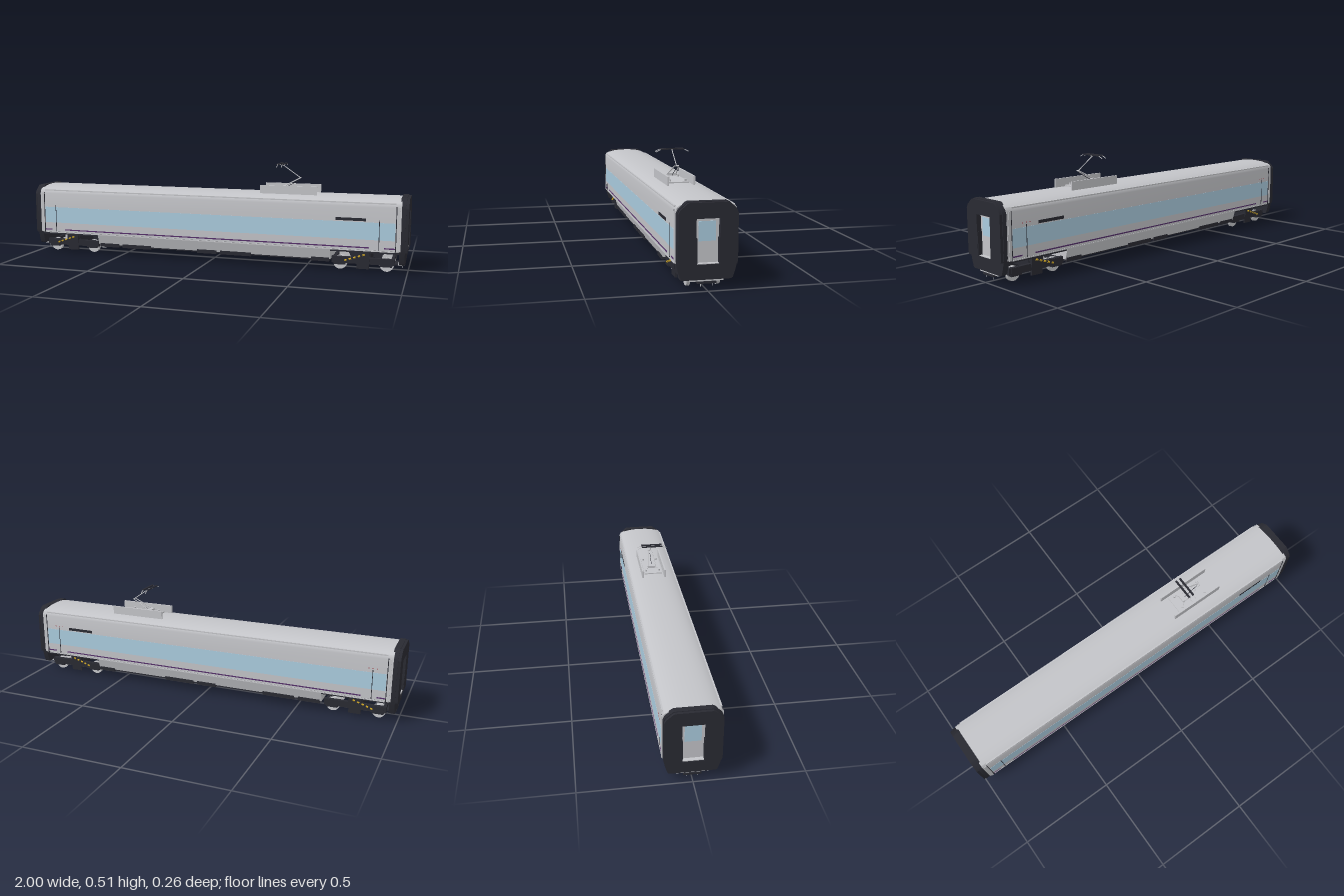
import * as THREE from 'three';
import { toCreasedNormals } from 'three/addons/utils/BufferGeometryUtils.js';

const mat = (name, color) => {
  const m = new THREE.MeshStandardMaterial({ color });
  m.name = name;
  return m;
};

export function createModel() {
  const silver = mat('silver', 0xc3c4c8);
  const dark = mat('charcoal', 0x292a32);
  const glass = mat('pale blue glass', 0xaacbde);
  const purple = mat('purple', 0x55306a);
  const yellow = mat('yellow', 0xc9a227);
  const red = mat('red', 0xa04048);

  const model = new THREE.Group();
  model.name = 'railCar';

  const add = (parent, name, geo, m, x = 0, y = 0, z = 0) => {
    const mesh = new THREE.Mesh(geo, m);
    mesh.name = name;
    mesh.position.set(x, y, z);
    parent.add(mesh);
    return mesh;
  };
  // box given by its limits on every axis
  const box = (parent, name, m, x0, x1, y0, y1, z0, z1) =>
    add(parent, name, new THREE.BoxGeometry(x1 - x0, y1 - y0, Math.abs(z1 - z0)), m,
      (x0 + x1) / 2, (y0 + y1) / 2, (z0 + z1) / 2);
  // cylinder lying across the car
  const drum = (parent, name, m, r, len, x, y, z, sides = 24) =>
    add(parent, name, new THREE.CylinderGeometry(r, r, len, sides).rotateX(Math.PI / 2), m, x, y, z);
  // rod between two points
  const rod = (parent, name, m, a, b, r) => {
    const p = new THREE.Vector3(...a), q = new THREE.Vector3(...b);
    const mesh = add(parent, name, new THREE.CylinderGeometry(r, r, p.distanceTo(q), 8), m);
    mesh.position.copy(p).add(q).multiplyScalar(0.5);
    mesh.quaternion.setFromUnitVectors(new THREE.Vector3(0, 1, 0), q.sub(p).normalize());
    return mesh;
  };
  // mirrored cross-section from half profile [z, y], listed bottom to top
  const section = half => new THREE.Shape([
    ...half.map(([z, y]) => new THREE.Vector2(z, y)),
    ...[...half].reverse().filter(p => p[0] > 0).map(([z, y]) => new THREE.Vector2(-z, y)),
  ]);
  const sweep = (shape, x0, x1) => toCreasedNormals(
    new THREE.ExtrudeGeometry(shape, { depth: x1 - x0, bevelEnabled: false })
      .rotateY(Math.PI / 2).translate(x0, 0, 0), 0.45);

  // Body shell and roof
  add(model, 'bodyShell', sweep(section([
    [0.122, 0.108], [0.128, 0.114], [0.129, 0.2], [0.129, 0.325], [0.126, 0.338], [0.12, 0.346],
    [0.108, 0.352], [0.09, 0.358], [0.065, 0.363], [0.035, 0.366], [0, 0.367],
  ]), -0.967, 0.967), silver);
  box(model, 'floorPan', dark, -0.96, 0.96, 0.098, 0.11, -0.118, 0.118);

  // Underfloor skirt between the bogies
  add(model, 'skirt', sweep(section([[0.104, 0.053], [0.122, 0.11]]), -0.63, 0.63), silver);
  box(model, 'skirtUnderside', dark, -0.628, 0.628, 0.047, 0.054, -0.103, 0.103);
  for (const [a, b] of [[-0.62, -0.51], [-0.49, -0.325], [-0.065, 0.04], [0.06, 0.225], [0.535, 0.625]])
    box(model, 'equipmentCase', dark, a, b, 0.042, 0.061, -0.109, 0.109);

  // Painted and trim details of both sides
  for (const s of [1, -1]) {
    const plate = (name, m, x0, x1, y0, y1, t = 0.0007) =>
      box(model, name, m, x0, x1, y0, y1, s * 0.128, s * (0.129 + t));
    plate('windowBand', glass, -0.94, 0.94, 0.165, 0.25);
    plate('sideStripe', purple, -0.825, 0.82, 0.123, 0.129, 0.0003);
    plate('stripeEndRear', purple, -0.957, -0.9, 0.123, 0.129, 0.0003);
    plate('stripeEndFront', purple, 0.89, 0.957, 0.123, 0.129, 0.0003);
    plate('destinationDisplay', dark, 0.655, 0.8, 0.255, 0.269, 0.0015);
    for (const x of [-0.875, 0.865])
      plate('doorEdge', dark, x - 0.0015, x + 0.0015, 0.115, 0.262, 0.0012);
    box(model, 'roofGutter', silver, -0.94, 0.94, 0.34, 0.346, s * 0.119, s * 0.1275);
    box(model, 'sillTrim', silver, -0.94, 0.94, 0.108, 0.113, s * 0.12, s * 0.1295);
  }
  // Small door lamps on the rear side
  for (const cx of [-0.875, 0.865])
    for (const dx of [-0.02, 0, 0.02])
      box(model, 'doorLamp', red, cx + dx - 0.002, cx + dx + 0.002, 0.268, 0.272, -0.1305, -0.128);

  // Gangway ends, built at +x and turned for the other end
  const makeEnd = () => {
    const end = new THREE.Group();
    end.name = 'gangwayEnd';
    const upper = [[0.128, 0.125], [0.128, 0.32], [0.12, 0.338], [0.09, 0.364], [0.082, 0.368]];
    const wall = section([[0.1, 0.045], [0.108, 0.05], [0.118, 0.08], [0.125, 0.11], ...upper]);
    const collar = section([[0.122, 0.108], [0.125, 0.125], [0.125, 0.32], [0.117, 0.336],
      [0.088, 0.361], [0.08, 0.365]]);
    for (const shape of [wall, collar])
      shape.holes.push(new THREE.Path([[-0.05, 0.112], [-0.05, 0.3], [0.05, 0.3], [0.05, 0.112]]
        .map(p => new THREE.Vector2(...p))));
    add(end, 'endWall', sweep(wall, 0.96, 0.987), dark);
    add(end, 'gangwayCollar', sweep(collar, 0.986, 1), dark);
    box(end, 'endDoor', silver, 0.967, 0.978, 0.112, 0.3, -0.05, 0.05);
    box(end, 'endDoorWindow', glass, 0.978, 0.98, 0.204, 0.286, -0.036, 0.036);
    box(end, 'doorStep', silver, 0.978, 0.996, 0.112, 0.115, -0.048, 0.048);
    for (const s of [1, -1]) {
      box(end, 'doorPost', dark, 0.978, 0.999, 0.112, 0.22, s * 0.046, s * 0.05);
      box(end, 'cornerTrim', silver, 0.946, 0.959, 0.112, 0.328, s * 0.124, s * 0.131);
      box(end, 'cornerSeal', dark, 0.942, 0.946, 0.112, 0.33, s * 0.124, s * 0.1303);
      rod(end, 'brakeHose', silver, [0.975, 0.05, s * 0.025], [0.975, 0.015, s * 0.025], 0.0015);
    }
    box(end, 'coupler', dark, 0.93, 0.985, 0.028, 0.037, -0.04, 0.04);
    box(end, 'couplerBeam', silver, 0.955, 0.98, 0.037, 0.046, -0.07, 0.07);
    return end;
  };
  const rearEnd = makeEnd();
  rearEnd.rotation.y = Math.PI;
  model.add(makeEnd(), rearEnd);

  // Bogies
  for (const cx of [-0.793, 0.787]) {
    const bogie = new THREE.Group();
    bogie.name = 'bogie';
    bogie.position.x = cx;
    model.add(bogie);
    for (const wx of [-0.113, 0.113]) {
      drum(bogie, 'axle', silver, 0.008, 0.16, wx, 0.035, 0, 12);
      for (const z of [-0.022, 0.022]) drum(bogie, 'brakeDisc', silver, 0.021, 0.008, wx, 0.035, z);
      for (const s of [1, -1]) {
        drum(bogie, 'wheel', silver, 0.033, 0.012, wx, 0.034, s * 0.066);
        drum(bogie, 'wheelFlange', silver, 0.035, 0.004, wx, 0.035, s * 0.059);
        box(bogie, 'axleBox', dark, wx - 0.028, wx + 0.028, 0.028, 0.066, s * 0.074, s * 0.096);
      }
    }
    for (const s of [1, -1]) {
      box(bogie, 'sideFrame', dark, -0.152, 0.152, 0.036, 0.068, s * 0.076, s * 0.094);
      box(bogie, 'suspension', dark, -0.032, 0.032, 0.05, 0.1, s * 0.07, s * 0.099);
      box(bogie, 'trackBrake', dark, -0.03, 0.03, 0.012, 0.04, s * 0.085, s * 0.094);
      // damper spring with alternating coils
      for (let i = 0; i < 9; i++) {
        const at = t => [-0.088 + 0.098 * t, 0.051 + 0.034 * t, s * 0.101];
        rod(bogie, 'damperCoil', i % 2 ? dark : yellow, at(i / 9), at((i + 1) / 9), i % 2 ? 0.003 : 0.0045);
      }
    }
    box(bogie, 'bolster', dark, -0.035, 0.035, 0.045, 0.1, -0.08, 0.08);
    for (const x of [-0.148, 0.134])
      box(bogie, 'crossBeam', dark, x, x + 0.014, 0.046, 0.062, -0.08, 0.08);
  }

  // Roof screens and current collector
  const collector = new THREE.Group();
  collector.name = 'currentCollector';
  model.add(collector);
  box(collector, 'basePlate', silver, 0.3, 0.5, 0.362, 0.372, -0.048, 0.048);
  box(collector, 'baseFrame', silver, 0.345, 0.365, 0.382, 0.394, -0.02, 0.02);
  for (const s of [1, -1]) {
    box(collector, 'roofScreen', silver, 0.26, 0.55, 0.355, 0.405, s * 0.057, s * 0.065);
    for (const x of [0.33, 0.475])
      add(collector, 'insulator', new THREE.CylinderGeometry(0.006, 0.006, 0.02, 12), silver, x, 0.372, s * 0.036);
    rod(collector, 'baseRail', silver, [0.33, 0.38, s * 0.036], [0.355, 0.386, s * 0.018], 0.002);
    rod(collector, 'lowerArm', silver, [0.355, 0.388, s * 0.022], [0.455, 0.441, s * 0.009], 0.0025);
  }
  rod(collector, 'controlRod', dark, [0.365, 0.384, 0], [0.448, 0.428, 0], 0.0012);
  rod(collector, 'knee', silver, [0.455, 0.441, -0.011], [0.455, 0.441, 0.011], 0.0025);
  rod(collector, 'upperArm', silver, [0.455, 0.441, 0], [0.362, 0.505, 0], 0.0022);
  rod(collector, 'headLink', silver, [0.345, 0.506, 0], [0.375, 0.506, 0], 0.002);
  for (const x of [0.347, 0.371]) {
    box(collector, 'contactStrip', dark, x - 0.005, x + 0.005, 0.508, 0.513, -0.057, 0.057);
    for (const s of [1, -1])
      rod(collector, 'horn', silver, [x, 0.51, s * 0.055], [x, 0.498, s * 0.079], 0.0018);
  }
  return model;
}
